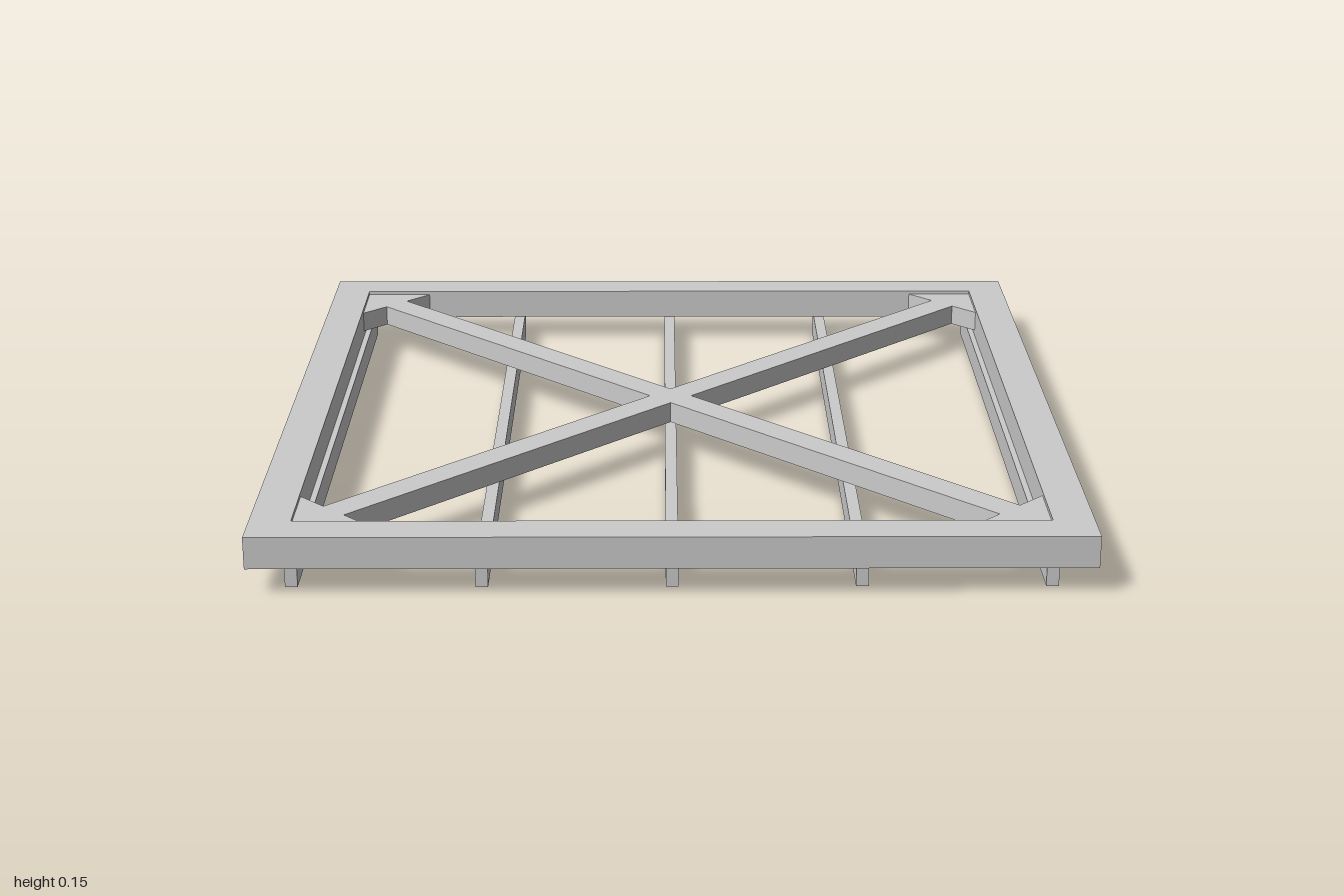
import * as THREE from 'three';

const material = new THREE.MeshStandardMaterial({ color: 0xcccccc, flatShading: true });

// Horizontal slab: a plan outline [x, z] raised from y to y + height
function slab(name, points, y, height, hole) {
  const toVectors = (list) => list.map(([x, z]) => new THREE.Vector2(x, -z));
  const shape = new THREE.Shape(toVectors(points));
  if (hole) shape.holes.push(new THREE.Path(toVectors(hole)));
  const geometry = new THREE.ExtrudeGeometry(shape, { depth: height, bevelEnabled: false });
  geometry.rotateX(-Math.PI / 2);
  const mesh = new THREE.Mesh(geometry, material);
  mesh.name = name;
  mesh.position.y = y;
  return mesh;
}

const square = (r) => [[-r, -r], [-r, r], [r, r], [r, -r]];

export function createModel() {
  const model = new THREE.Group();
  model.name = 'bracedFrame';

  const railHeight = 0.07, frameHeight = 0.08;
  const inner = 0.9, gussetLeg = 0.18;

  // Square outer frame
  model.add(slab('outerFrame', square(1), railHeight, frameHeight, square(inner)));

  // Cross brace: four equal arms, each widening into a triangular corner gusset
  const h = 0.039;
  const tip = inner * Math.SQRT2;
  const g = gussetLeg / Math.SQRT2;
  const arm = [[h, -h], [tip - g, -h], [tip - g, -g], [tip, 0], [tip - g, g], [tip - g, h]];
  const outline = [];
  for (let k = 0; k < 4; k++) {
    const c = Math.cos(k * Math.PI / 2 + Math.PI / 4);
    const s = Math.sin(k * Math.PI / 2 + Math.PI / 4);
    for (const [u, v] of arm) outline.push([u * c - v * s, u * s + v * c]);
  }
  model.add(slab('crossBraceWithGussets', outline, 0.085, 0.055));

  // Five narrow rails running front to back under the frame
  for (let i = -2; i <= 2; i++) {
    const rail = new THREE.Mesh(new THREE.BoxGeometry(0.03, railHeight, 1.89), material);
    rail.name = 'bottomRail';
    rail.position.set(i * 0.45, railHeight / 2, 0);
    model.add(rail);
  }

  return model;
}
